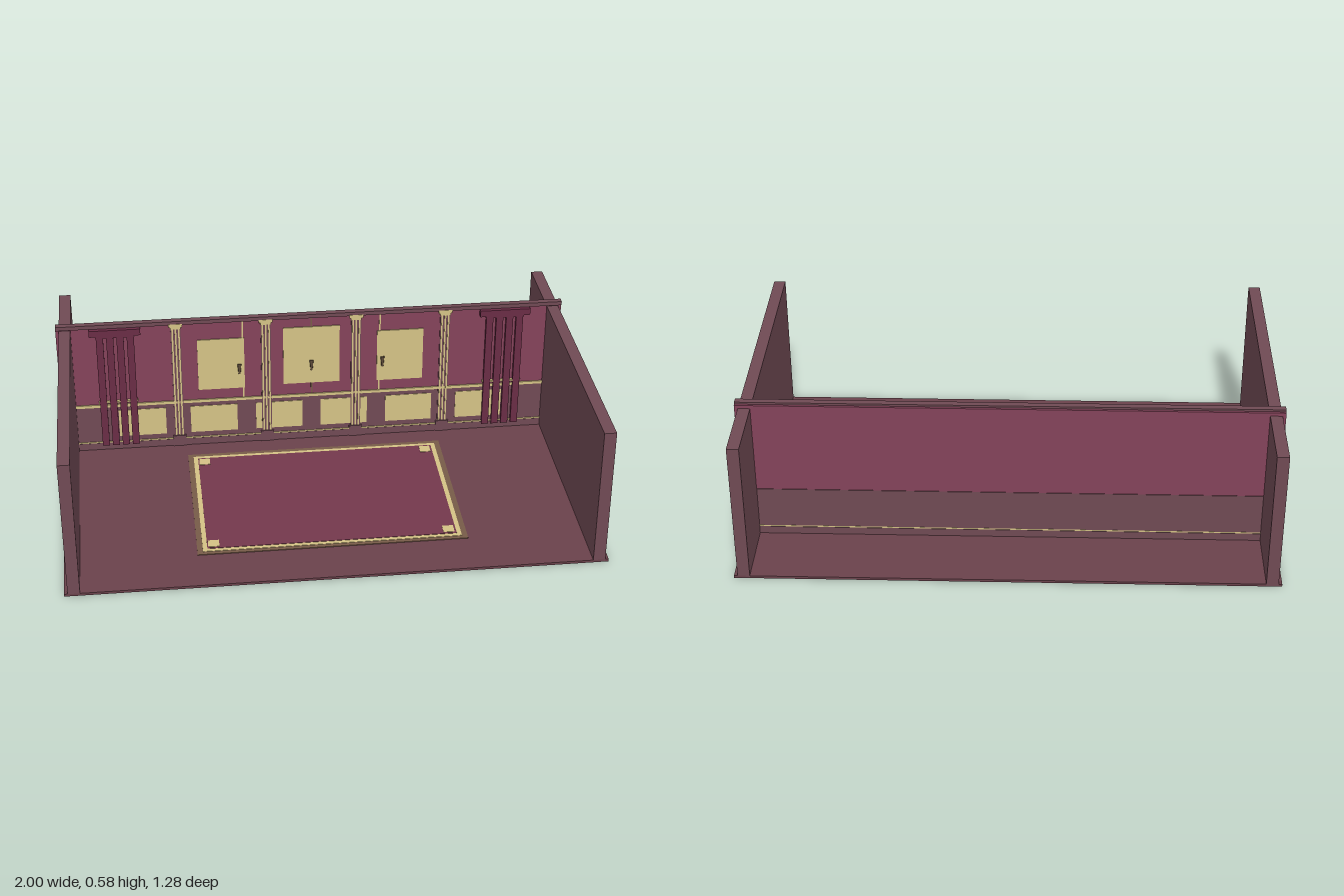
import * as THREE from 'three';

const mat = (color) => {
  const m = new THREE.MeshStandardMaterial();
  m.color.set(color);
  return m;
};

export function createModel() {
  const room = new THREE.Group();
  room.name = 'room';
  const plaster = mat(0x84435a), wood = mat(0x704a54), floorWood = mat(0x6a424b);
  const gold = mat(0xd4c285), olive = mat(0x775b48), rugRed = mat(0x74384c);
  const cloth = mat(0x6a2c45), dark = mat(0x5c4a38);

  // Box given by its limits on each axis
  const box = (name, m, x0, x1, y0, y1, z0, z1, parent = room) => {
    const mesh = new THREE.Mesh(new THREE.BoxGeometry(x1 - x0, y1 - y0, z1 - z0), m);
    mesh.position.set((x0 + x1) / 2, (y0 + y1) / 2, (z0 + z1) / 2);
    mesh.name = name;
    parent.add(mesh);
    return mesh;
  };
  const group = (name) => {
    const g = new THREE.Group();
    g.name = name;
    room.add(g);
    return g;
  };

  // Floor and side walls
  box('floor', floorWood, -1, 1, 0, 0.01, -0.64, 0.64);
  box('leftWall', wood, 0.942, 0.987, 0, 0.557, -0.64, 0.64);
  box('rightWall', wood, -0.987, -0.942, 0, 0.557, -0.64, 0.64);

  // Back wall with wainscot, rails and crown
  const F = -0.337; // front face of the back wall
  box('upperWall', plaster, -1, 1, 0.21, 0.57, -0.364, F);
  box('wainscot', wood, -1, 1, 0.01, 0.207, -0.362, F + 0.001);
  box('baseboard', wood, -1, 1, 0.01, 0.04, -0.364, F + 0.005);
  box('baseboardTrim', gold, -1, 1, 0.04, 0.045, -0.3625, F + 0.004);
  box('chairRail', gold, -1, 1, 0.205, 0.217, -0.355, F + 0.005);
  box('crown', wood, -1, 1, 0.562, 0.578, -0.354, F + 0.008);

  // Lower gold panels
  for (const x of [-0.655, -0.394, -0.131, 0.131, 0.394, 0.655]) {
    const outer = Math.abs(x) > 0.6;
    const c = outer ? Math.sign(x) * 0.681 : x;
    box('lowerPanel', gold, c - 0.094, c + 0.094, 0.067, 0.187, F, F + 0.003);
  }

  // Upper gold panels, thin wall strips and small lamps
  for (const [x, w, y0, y1, lampX] of [
    [-0.36, 0.185, 0.262, 0.487, -0.288],
    [0, 0.225, 0.268, 0.521, 0],
    [0.355, 0.185, 0.262, 0.487, 0.285],
  ]) {
    box('upperPanel', gold, x - w / 2, x + w / 2, y0, y1, F, F + 0.004);
    const s = Math.sign(x) * 0.273;
    box('wallStrip', x ? gold : olive, s - 0.003, s + 0.003, 0.215, 0.562, F, F + 0.002);
    const lamp = new THREE.Mesh(new THREE.CylinderGeometry(0.008, 0.004, 0.045, 8), dark);
    lamp.scale.z = 0.5;
    lamp.position.set(lampX, 0.348, F + 0.005);
    lamp.name = 'wallLamp';
    room.add(lamp);
  }

  // Fluted pilasters
  for (const x of [-0.535, -0.181, 0.178, 0.534]) {
    const p = group('pilaster');
    box('base', wood, x - 0.026, x + 0.026, 0.01, 0.057, F, F + 0.009, p);
    box('shaft', wood, x - 0.02, x + 0.02, 0.057, 0.55, F, F + 0.005, p);
    for (const d of [-0.013, 0, 0.013])
      box('flute', gold, x + d - 0.003, x + d + 0.003, 0.06, 0.545, F, F + 0.007, p);
    box('capitalNeck', gold, x - 0.021, x + 0.021, 0.543, 0.552, F, F + 0.008, p);
    box('capital', gold, x - 0.027, x + 0.027, 0.552, 0.566, F, F + 0.0095, p);
  }

  // Curtains of four folds under a pelmet, with gold tie bands
  for (const side of [-1, 1]) {
    const c = group('curtain');
    const cx = side * 0.772;
    box('pelmet', cloth, cx - 0.1, cx + 0.1, 0.533, 0.56, F, F + 0.021, c);
    box('pelmetLower', cloth, cx - 0.076, cx + 0.076, 0.524, 0.535, F, F + 0.017, c);
    for (let i = 0; i < 4; i++) {
      const x = cx + (i - 1.5) * 0.04;
      box('fold', cloth, x - 0.014, x + 0.014, 0.033, 0.53, F, F + 0.014, c);
    }
    box('tieBand', gold, cx - 0.078, cx + 0.078, 0.228, 0.235, F, F + 0.012, c);
  }

  // Rug in layers with corner squares
  const rug = group('rug');
  box('rugEdge', olive, -0.508, 0.508, 0.01, 0.0125, -0.248, 0.45, rug);
  box('rugBorder', gold, -0.487, 0.487, 0.0125, 0.014, -0.229, 0.433, rug);
  box('rugField', rugRed, -0.47, 0.47, 0.014, 0.0155, -0.213, 0.417, rug);
  for (const x of [-0.445, 0.442])
    for (const z of [-0.184, 0.388])
      box('rugCorner', gold, x - 0.021, x + 0.021, 0.0155, 0.017, z - 0.021, z + 0.021, rug);

  return room;
}
